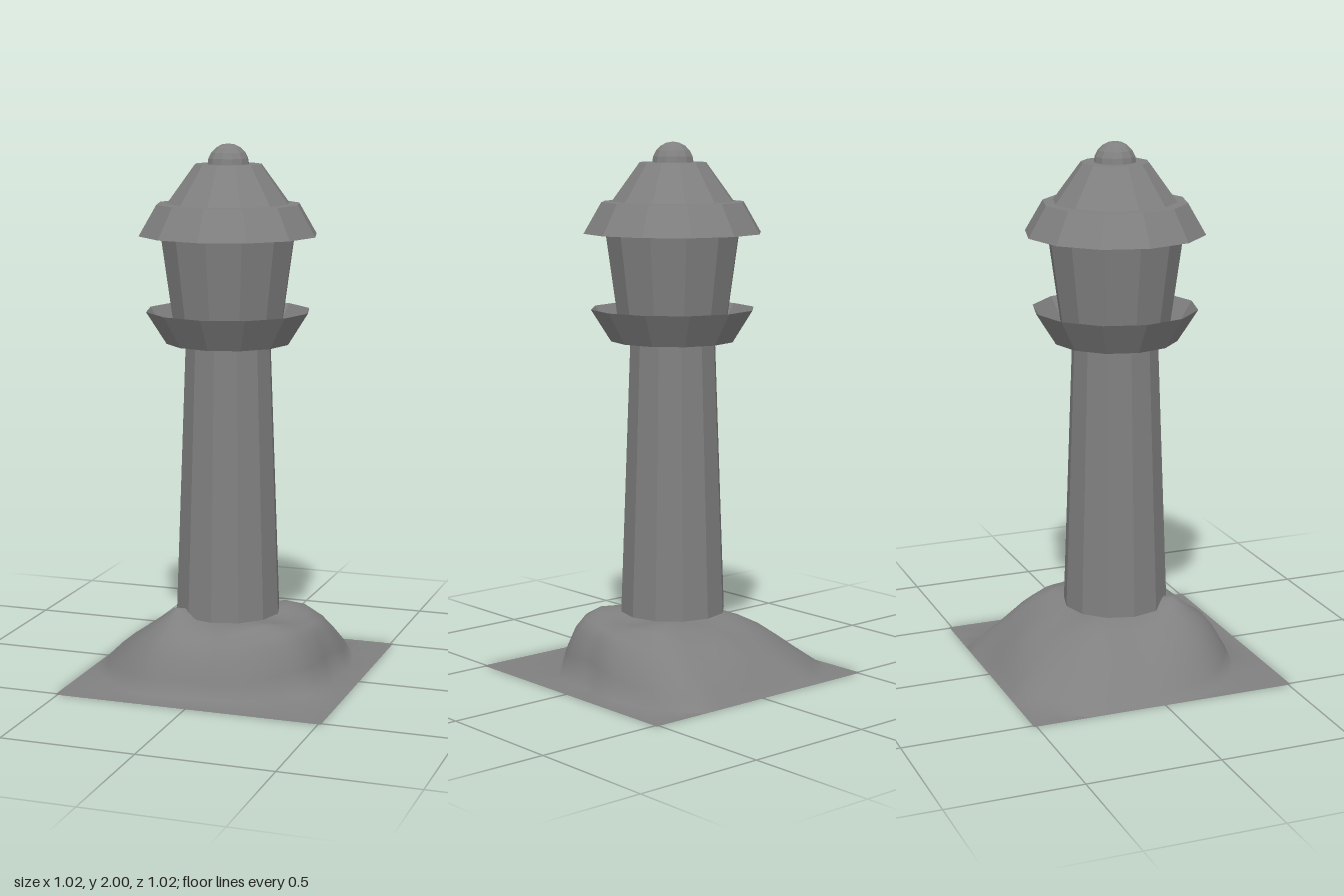
import * as THREE from 'three';
import { mergeVertices } from 'three/addons/utils/BufferGeometryUtils.js';

const SIDES = 12;
const color = 0x808080;
const material = new THREE.MeshStandardMaterial({ color, flatShading: true });
const thinMaterial = new THREE.MeshStandardMaterial({ color, flatShading: true, side: THREE.DoubleSide });
const groundMaterial = new THREE.MeshStandardMaterial({ color, side: THREE.DoubleSide });

// Twelve-sided tapered drum between two heights
function drum(name, y0, r0, y1, r1) {
  const mesh = new THREE.Mesh(new THREE.CylinderGeometry(r1, r0, y1 - y0, SIDES), material);
  mesh.position.y = (y0 + y1) / 2;
  mesh.name = name;
  return mesh;
}

// Hill outline every 30 degrees from +x towards +z: foot radius, steepness
const OUTLINE = [
  [0.41, 5], [0.43, 5], [0.4, 3], [0.39, 2.4], [0.46, 3], [0.5, 1.8],
  [0.505, 1.4], [0.58, 1.25], [0.58, 1.3], [0.505, 1.6], [0.58, 1.6], [0.48, 3],
];
const CREST = 0.18;
const HALF = 0.51;
// Rings on the slope, as fractions from the crest to the foot
const SLOPE = [0, 0.2, 0.4, 0.6, 0.75, 0.9, 1];
const SPOKES = 48;

// Low hill of rings around the tower that ends in a flat square sheet
function hill() {
  const rings = SLOPE.length + 2;
  const geo = new THREE.PlaneGeometry(1, 1, SPOKES, rings - 1);
  const p = geo.attributes.position;
  for (let i = 0; i < p.count; i++) {
    const spoke = i % (SPOKES + 1) % SPOKES;
    const ring = Math.floor(i / (SPOKES + 1));
    const angle = (spoke / SPOKES) * Math.PI * 2;
    const c = Math.cos(angle), s = Math.sin(angle);
    const edge = HALF / Math.max(Math.abs(c), Math.abs(s));

    // Blend the outline between its neighbouring entries
    const a = (spoke / SPOKES) * OUTLINE.length;
    const k = Math.floor(a);
    const next = OUTLINE[(k + 1) % OUTLINE.length];
    const [foot, power] = OUTLINE[k].map((v, n) => THREE.MathUtils.lerp(v, next[n], a - k));

    let r = 0, fall = 1;
    if (ring === rings - 1) {
      r = edge;
      fall = 0;
    } else if (ring > 0) {
      const t = SLOPE[ring - 1];
      r = THREE.MathUtils.lerp(CREST, Math.min(foot, edge * 0.985), t);
      fall = 1 - Math.pow(t, power);
    }
    const x = r * c, z = r * s;
    // Gentle lumps and one raised rock beside the tower foot
    const lumps = 0.016 * Math.sin(13 * x + 2) * Math.cos(15 * z) * Math.min(1, r / 0.2);
    const rock = 0.055 * Math.exp(-((x + 0.14) ** 2 + (z - 0.17) ** 2) / 0.004);
    p.setXYZ(i, x, (0.23 + lumps + rock) * fall, z);
  }
  geo.deleteAttribute('uv');
  geo.deleteAttribute('normal');
  const smooth = mergeVertices(geo, 1e-5);
  smooth.computeVertexNormals();
  const mesh = new THREE.Mesh(smooth, groundMaterial);
  mesh.name = 'rockyHill';
  return mesh;
}

export function createModel() {
  const model = new THREE.Group();
  model.name = 'lighthouse';
  model.add(hill());

  const tower = new THREE.Group();
  tower.name = 'tower';
  tower.position.x = -0.01;
  model.add(tower);

  tower.add(
    drum('shaft', 0.235, 0.199, 1.27, 0.161),
    drum('lanternRoom', 1.27, 0.197, 1.67, 0.253),
    drum('eave', 1.665, 0.335, 1.78, 0.268),
    drum('roof', 1.782, 0.23, 1.925, 0.125),
  );

  // Gallery: open, flared dish around the lantern room
  const dish = [[0, 1.265], [0.233, 1.265], [0.309, 1.385]].map(([r, y]) => new THREE.Vector2(r, y));
  const gallery = new THREE.Mesh(new THREE.LatheGeometry(dish, SIDES), thinMaterial);
  gallery.name = 'gallery';
  tower.add(gallery);

  // Ball on top of the roof
  const ball = new THREE.Mesh(new THREE.SphereGeometry(0.078, SIDES, 10), material);
  ball.position.y = 1.922;
  ball.name = 'roofBall';
  tower.add(ball);

  return model;
}
